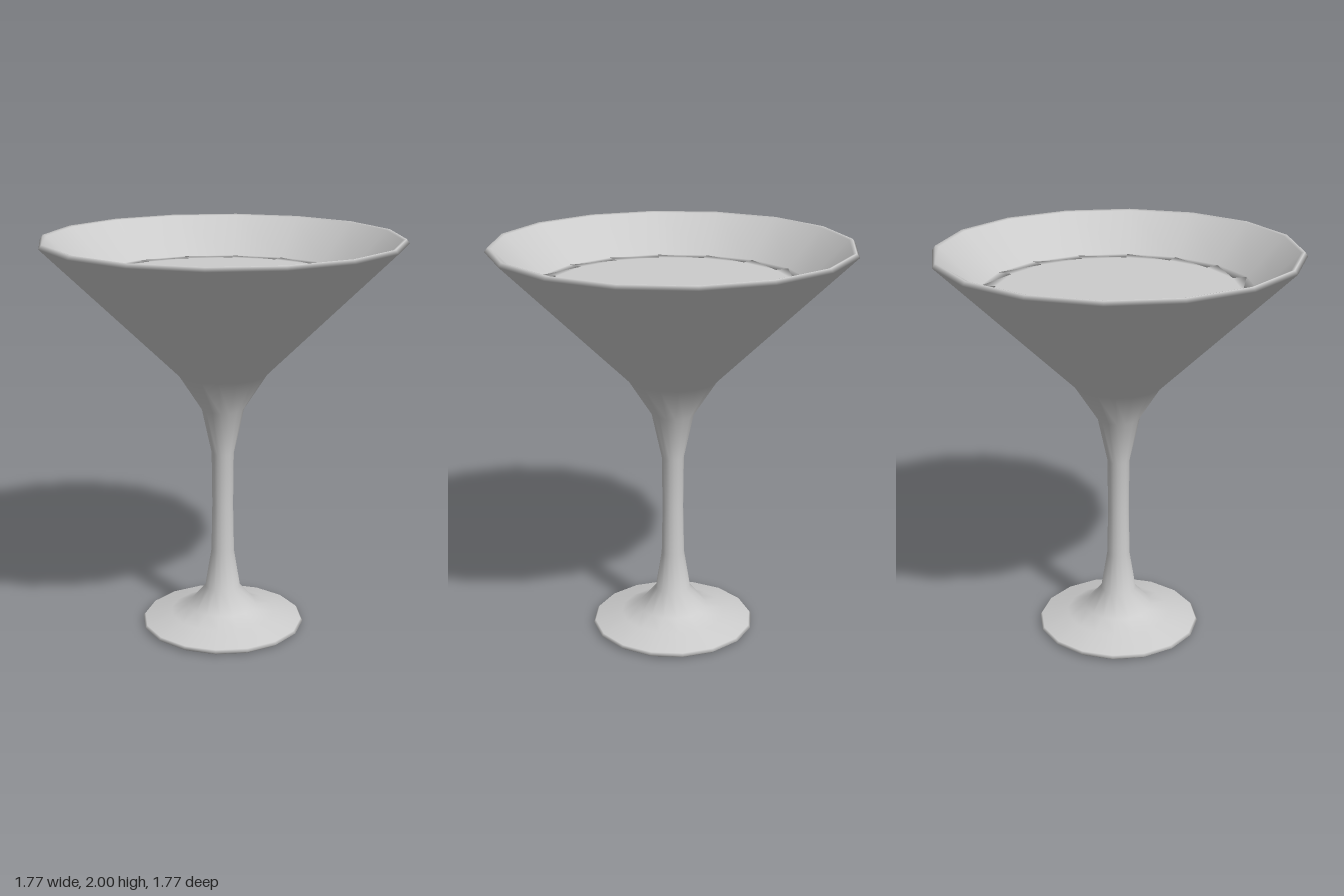
import * as THREE from 'three';

const SIDES = 16;

// Turn a profile of [radius, height] pairs around the y axis
function turned(name, profile, material) {
  const points = profile.map(([r, y]) => new THREE.Vector2(r, y));
  const mesh = new THREE.Mesh(new THREE.LatheGeometry(points, SIDES), material);
  mesh.name = name;
  return mesh;
}

export function createModel() {
  const group = new THREE.Group();
  group.name = 'cocktailGlass';
  const material = new THREE.MeshStandardMaterial({ color: 0xcccccc });

  // Hollow underside, foot, stem, bowl, rim and inner wall
  const glass = [
    [0, 0.13], [0.08, 0.11], [0.16, 0.075], [0.27, 0.035], [0.395, 0],
    [0.415, 0.015], [0.405, 0.028], [0.267, 0.063], [0.175, 0.1], [0.09, 0.2],
    [0.058, 0.4], [0.053, 0.65], [0.056, 0.92], [0.106, 1.15], [0.222, 1.33],
    [0.887, 1.98], [0.872, 2], [0.855, 1.995],
    [0.665, 1.805], [0.19, 1.35], [0.07, 1.19], [0, 1.15],
  ];
  group.add(turned('glass', glass, material));

  // Drink filling the bowl, with a soft edge around its flat surface
  const drink = [
    [0, 1.17], [0.065, 1.2], [0.185, 1.36], [0.665, 1.807], [0.59, 1.807], [0, 1.807],
  ];
  group.add(turned('drink', drink, material));

  return group;
}
